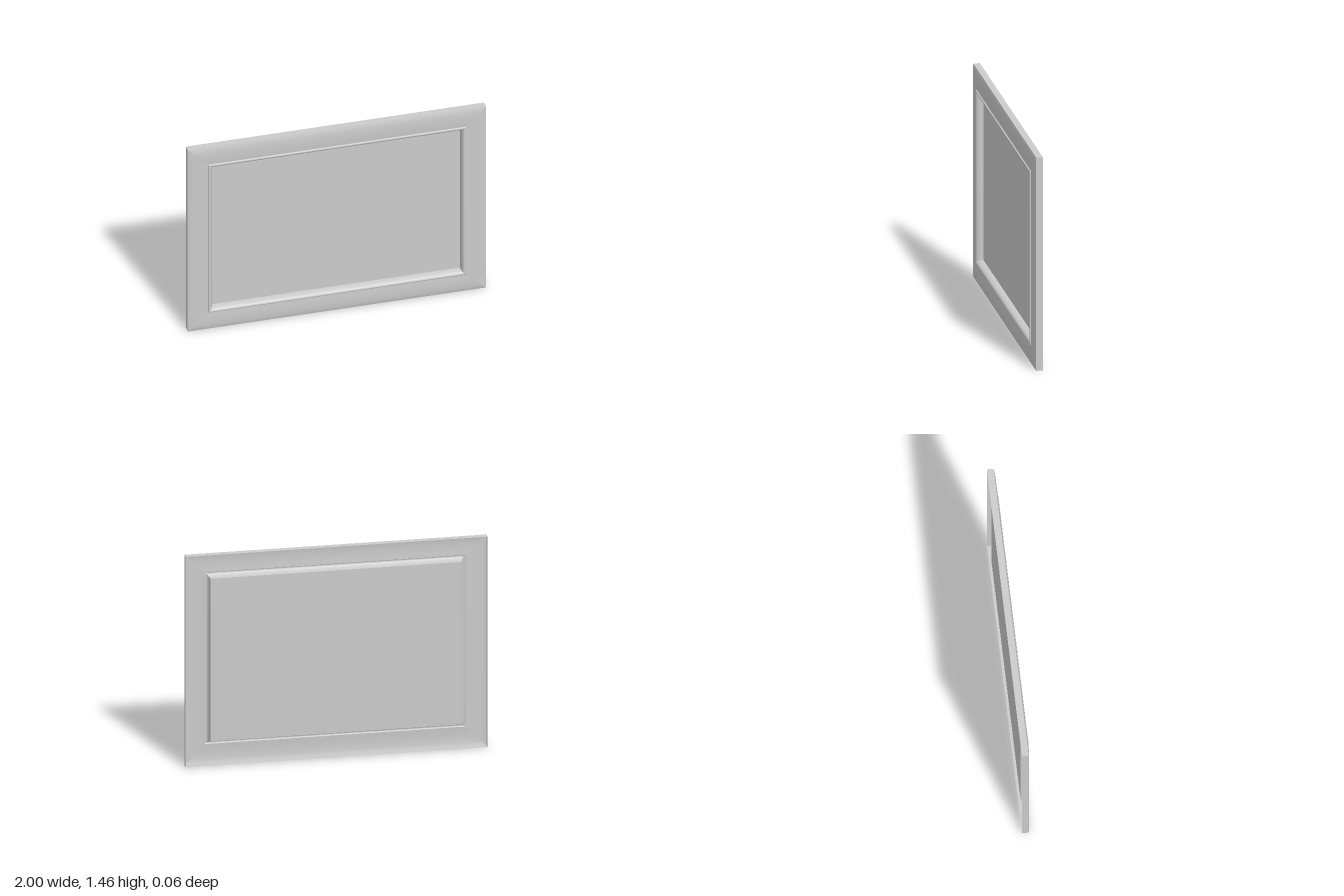
import * as THREE from 'three';

const W = 2, H = 1.46;

// Sweep a profile of [inset, z] points round the rectangle, with mitred corners.
function mitredRing(name, profile, material) {
  const group = new THREE.Group();
  group.name = name;
  const corners = [[-1, -1], [1, -1], [1, 1], [-1, 1]];
  const at = ([sx, sy], [inset, z]) => [sx * (W / 2 - inset), H / 2 + sy * (H / 2 - inset), z];
  const sides = ['Bottom', 'Left', 'Top', 'Right'];
  sides.forEach((side, i) => {
    const positions = [], index = [];
    profile.forEach((p, j) => {
      positions.push(...at(corners[i], p), ...at(corners[(i + 1) % 4], p));
      if (j > 0) {
        const a = 2 * (j - 1);
        index.push(a, a + 1, a + 3, a, a + 3, a + 2);
      }
    });
    const geometry = new THREE.BufferGeometry();
    geometry.setAttribute('position', new THREE.Float32BufferAttribute(positions, 3));
    geometry.setIndex(index);
    geometry.computeVertexNormals();
    const mesh = new THREE.Mesh(geometry, material);
    mesh.name = name + side;
    group.add(mesh);
  });
  return group;
}

// Smooth a few profile points into a rounded section.
function rounded(points, steps) {
  const curve = new THREE.CatmullRomCurve3(points.map(([a, z]) => new THREE.Vector3(a, z, 0)));
  return curve.getPoints(steps).map((p) => [p.x, p.y]);
}

export function createModel() {
  const model = new THREE.Group();
  model.name = 'framedPanel';
  const material = new THREE.MeshStandardMaterial({ color: 0xcccccc, side: THREE.DoubleSide });

  // Outer edge, open at the back
  model.add(mitredRing('outerEdge', [[0, -0.03], [0, 0.014]], material));

  // Broad, gently domed frame face
  const face = [[0, 0.014], [0.02, 0.019], [0.05, 0.022], [0.09, 0.0225], [0.135, 0.02]];
  model.add(mitredRing('frameFace', rounded(face, 16), material));

  // Raised bead that rolls down to the panel
  const bead = [[0.135, 0.02], [0.136, 0.026], [0.142, 0.029], [0.15, 0.027],
    [0.158, 0.019], [0.164, 0.004], [0.167, -0.019]];
  model.add(mitredRing('innerBead', rounded(bead, 20), material));

  // Recessed flat panel
  const panel = new THREE.Mesh(new THREE.PlaneGeometry(W - 0.334, H - 0.334), material);
  panel.name = 'panel';
  panel.position.set(0, H / 2, -0.019);
  model.add(panel);

  return model;
}
